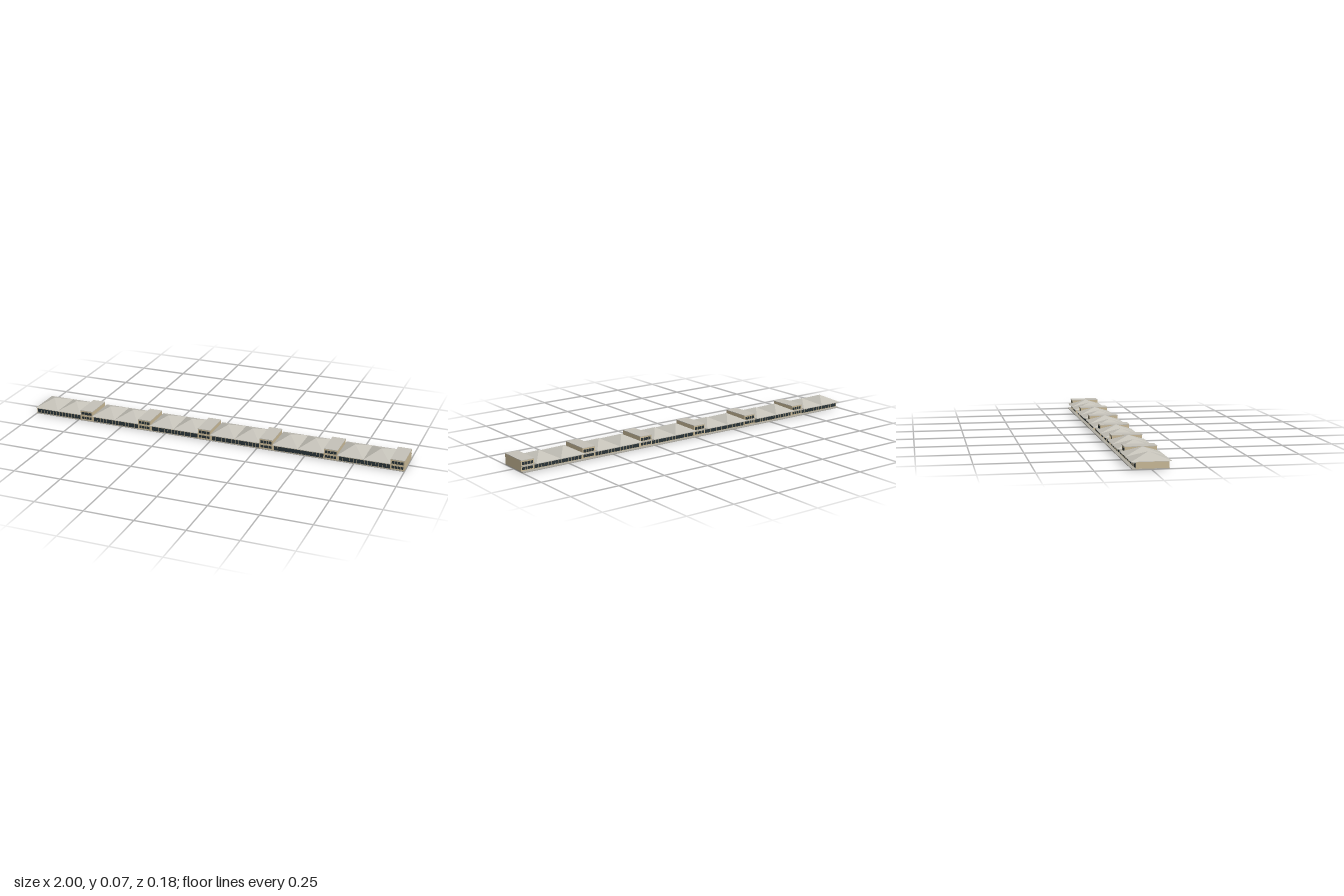
import * as THREE from 'three';

const mat = (name, color) => {
  const m = new THREE.MeshStandardMaterial({ color });
  m.name = name;
  return m;
};

export function createModel() {
  const wall = mat('sandWall', 0xc8b896);
  const roof = mat('paleRoof', 0xc4c1b8);
  const slab = mat('concrete', 0xaeaba2);
  const glass = mat('darkGlass', 0x283236);

  const model = new THREE.Group();
  model.name = 'terminal';

  // box given by its minimum and maximum on each axis
  const box = (parent, name, m, x0, x1, y0, y1, z0, z1) => {
    const mesh = new THREE.Mesh(new THREE.BoxGeometry(x1 - x0, y1 - y0, z1 - z0), m);
    mesh.position.set((x0 + x1) / 2, (y0 + y1) / 2, (z0 + z1) / 2);
    mesh.name = name;
    parent.add(mesh);
  };

  // window band with thin mullions on the front (side 1) or back (side -1)
  const windowBand = (parent, x0, x1, y0, y1, z, side, panes) => {
    const zs = (d) => [Math.min(z, z + side * d), Math.max(z, z + side * d)];
    box(parent, 'windowBand', glass, x0, x1, y0, y1, ...zs(0.001));
    for (let i = 1; i < panes; i++) {
      const x = x0 + (x1 - x0) * i / panes;
      box(parent, 'mullion', wall, x - 0.0008, x + 0.0008, y0, y1, ...zs(0.002));
    }
  };

  const pitch = 2 / 6, hallWidth = 0.264, front = 0.08, back = -0.068;

  // hipped roof: four-sided pyramid stretched to its bay
  const pyramid = new THREE.ConeGeometry(Math.SQRT1_2, 1, 4, 1, false).toNonIndexed();
  pyramid.rotateY(Math.PI / 4);
  pyramid.computeVertexNormals();

  box(model, 'baseSlab', slab, -1, 1, 0, 0.004, -0.085, 0.082);
  box(model, 'rearCanopy', slab, -1, 1, 0.029, 0.031, -0.082, back);

  for (let i = 0; i < 6; i++) {
    const x0 = -1 + i * pitch, x1 = x0 + hallWidth, x2 = x0 + pitch;

    // low hall with two pyramid roofs
    const hall = new THREE.Group();
    hall.name = 'hall';
    box(hall, 'hallWalls', wall, x0 + 0.002, x1, 0.004, 0.033, back, front);
    windowBand(hall, x0 + 0.008, x1 - 0.002, 0.006, 0.027, front, 1, 14);
    windowBand(hall, x0 + 0.008, x1 - 0.002, 0.007, 0.026, back, -1, 14);
    box(hall, 'eaves', roof, x0, x1, 0.033, 0.035, -0.09, 0.09);
    for (let k = 0; k < 2; k++) {
      const p = new THREE.Mesh(pyramid, roof);
      p.name = 'pyramidRoof';
      p.scale.set(hallWidth / 2, 0.033, 0.18);
      p.position.set(x0 + hallWidth * (k + 0.5) / 2, 0.0515, 0);
      hall.add(p);
    }
    model.add(hall);

    // taller two-storey block
    const tower = new THREE.Group();
    tower.name = 'tower';
    box(tower, 'towerWalls', wall, x1, x2, 0.004, 0.055, back, front);
    box(tower, 'towerRoof', roof, x1, x2, 0.055, 0.058, back - 0.002, front + 0.002);
    for (const [y0, y1] of [[0.01, 0.023], [0.034, 0.048]]) {
      windowBand(tower, x1 + 0.006, x2 - 0.006, y0, y1, front, 1, 4);
      windowBand(tower, x1 + 0.006, x2 - 0.006, y0, y1, back, -1, 4);
    }
    model.add(tower);
  }
  return model;
}
